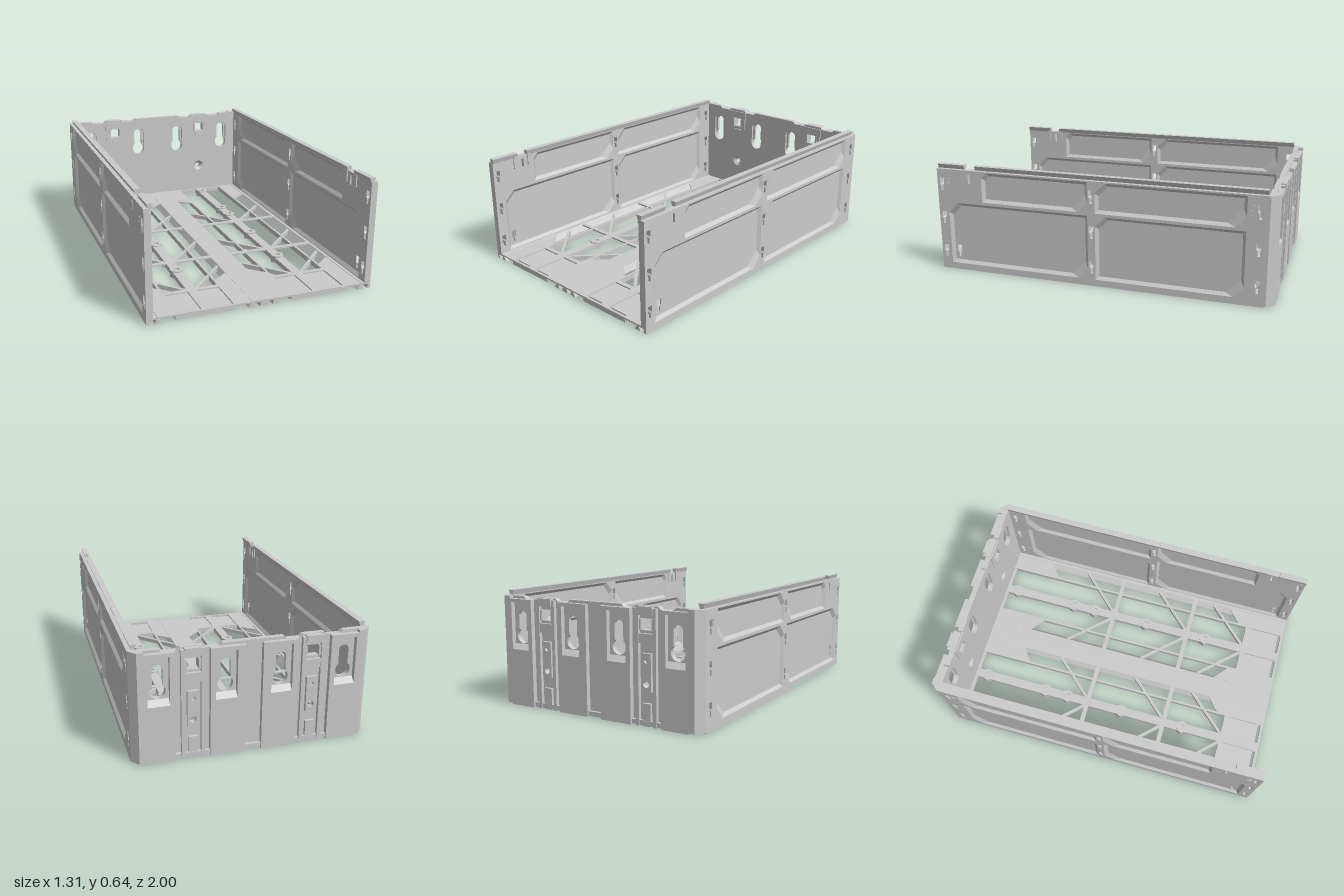
import * as THREE from 'three';

const material = new THREE.MeshStandardMaterial({ color: 0xcccccc, flatShading: true, side: THREE.DoubleSide });

const shapeOf = (pts, holes) => {
  const s = new THREE.Shape(pts.map(([a, b]) => new THREE.Vector2(a, b)));
  holes.forEach(h => s.holes.push(new THREE.Path(h.map(([a, b]) => new THREE.Vector2(a, b)))));
  return s;
};
const extrude = (pts, holes, depth) =>
  new THREE.ExtrudeGeometry(shapeOf(pts, holes), { depth, bevelEnabled: false });
const rect = (a0, a1, b0, b1) => [[a0, b0], [a1, b0], [a1, b1], [a0, b1]];
const arc = (cx, cy, r, from, to, n = 12) => Array.from({ length: n + 1 }, (_, i) => {
  const t = from + (to - from) * i / n;
  return [cx + r * Math.cos(t), cy + r * Math.sin(t)];
});
const circle = (cx, cy, r, n = 16) => arc(cx, cy, r, 0, Math.PI * 2, n).slice(0, n);

// Extrusions along each axis
const alongX = (pts, holes, x0, x1) => extrude(pts, holes, x1 - x0).rotateY(-Math.PI / 2).translate(x1, 0, 0); // (z, y)
const alongY = (pts, holes, y0, y1) => extrude(pts, holes, y1 - y0).rotateX(Math.PI / 2).translate(0, y1, 0); // (x, z)
const alongZ = (pts, holes, z0, z1) => extrude(pts, holes, z1 - z0).translate(0, 0, z0); // (x, y)
const box = (x0, x1, y0, y1, z0, z1) =>
  new THREE.BoxGeometry(x1 - x0, y1 - y0, z1 - z0).translate((x0 + x1) / 2, (y0 + y1) / 2, (z0 + z1) / 2);

// Mirror in x, restoring the winding
function mirrored(geo) {
  const g = geo.index ? geo.toNonIndexed() : geo.clone();
  g.scale(-1, 1, 1);
  const p = g.attributes.position, a = new THREE.Vector3(), c = new THREE.Vector3();
  for (let i = 0; i < p.count; i += 3) {
    a.fromBufferAttribute(p, i);
    c.fromBufferAttribute(p, i + 2);
    p.setXYZ(i, c.x, c.y, c.z);
    p.setXYZ(i + 2, a.x, a.y, a.z);
  }
  g.computeVertexNormals();
  return g;
}

// Sloped band between two (z, y) loops at different x
function bevelBand(loopA, xa, loopB, xb) {
  const v = [], n = loopA.length;
  for (let i = 0; i < n; i++) {
    const j = (i + 1) % n;
    const A = [xa, loopA[i][1], loopA[i][0]], B = [xa, loopA[j][1], loopA[j][0]];
    const C = [xb, loopB[j][1], loopB[j][0]], D = [xb, loopB[i][1], loopB[i][0]];
    if (xa < xb) v.push(...A, ...B, ...C, ...A, ...C, ...D);
    else v.push(...A, ...C, ...B, ...A, ...D, ...C);
  }
  const g = new THREE.BufferGeometry();
  g.setAttribute('position', new THREE.Float32BufferAttribute(v, 3));
  g.computeVertexNormals();
  return g;
}

export function createModel() {
  const model = new THREE.Group();
  model.name = 'openTray';
  const group = name => {
    const g = new THREE.Group();
    g.name = name;
    model.add(g);
    return g;
  };
  const add = (parent, name, geo) => {
    const m = new THREE.Mesh(geo, material);
    m.name = name;
    parent.add(m);
  };
  const pair = (parent, name, geo) => {
    add(parent, name + 'Left', geo);
    add(parent, name + 'Right', mirrored(geo));
  };

  // Side walls: frame with four bevelled recessed panels and key slots
  const walls = group('sideWalls');
  const panelLoop = ([z0, z1, y0, y1, cTop, cLow], d = 0) => {
    const a = z0 + d, b = z1 - d, c = y0 + d, e = y1 - d, k = cLow + d * 1.2;
    return [[a + k, c], [b, c], [b, e - cTop], [b - cTop, e], [a, e], [a, c + k]];
  };
  const keySlot = (z, y) => [[z - 0.007, y - 0.04], [z + 0.007, y - 0.04], [z + 0.007, y - 0.01], [z + 0.014, y],
    [z + 0.014, y + 0.035], [z - 0.014, y + 0.035], [z - 0.014, y], [z - 0.007, y - 0.01]];
  const panels = [
    [0.055, 0.71, 0.435, 0.612, 0.03, 0.06],
    [-0.835, 0.01, 0.435, 0.612, 0.06, 0.06],
    [0.055, 0.935, 0.04, 0.418, 0.06, 0.06],
    [-0.835, 0.01, 0.04, 0.418, 0.06, 0.06],
  ];
  const slots = [rect(0.783, 0.797, 0.545, 0.6)];
  for (const z of [0.97, 0.033, -0.905]) for (const y of [0.53, 0.325, 0.115]) slots.push(keySlot(z, y));
  pair(walls, 'wallFrame',
    alongX(rect(-0.945, 1, 0.03, 0.62), [...panels.map(p => panelLoop(p)), ...slots], 0.612, 0.65));
  panels.forEach((p, i) => {
    const outer = panelLoop(p), inner = panelLoop(p, 0.018);
    pair(walls, 'wallPanel', alongX(outer, i === 2 ? [keySlot(0.89, 0.115)] : [], 0.627, 0.634));
    pair(walls, 'panelBevelOuter', bevelBand(outer, 0.65, inner, 0.634));
    pair(walls, 'panelBevelInner', bevelBand(outer, 0.612, inner, 0.627));
  });
  for (const z of [0.93, -0.87]) for (const y of [0.535, 0.56])
    pair(walls, 'wallTick', box(0.645, 0.653, y - 0.003, y + 0.003, z - 0.012, z + 0.012));

  // Dovetail rails on the wall tops, with a clip in the gap
  const rail = [[0.608, 0.618], [0.626, 0.618], [0.635, 0.645], [0.599, 0.645]];
  for (const [a, b] of [[-0.94, 0.76], [0.83, 1]]) pair(walls, 'topRail', alongZ(rail, [], a, b));
  for (const z of [0.735, 0.835]) pair(walls, 'railClip', box(0.605, 0.62, 0.55, 0.626, z, z + 0.02));

  // Floor: grooved strips
  const floor = group('floor');
  const notch = x => [[x - 0.013, 0], [x - 0.02, 0.024], [x + 0.02, 0.024], [x + 0.013, 0]];
  add(floor, 'centreStrip', alongZ(
    [[-0.09, 0], ...notch(-0.037), ...notch(0.037), [0.09, 0], [0.068, 0.035], [-0.068, 0.035]], [], -0.97, 1));
  pair(floor, 'edgeStrip', alongZ(
    [[0.565, 0], ...notch(0.617), [0.65, 0], [0.65, 0.035], [0.594, 0.035]], [], -0.945, 1));

  // Solid corners of the floor, with slanted ends
  const cornerPlates = [
    [[0.06, -0.97], [0.165, -0.97], [0.165, -0.61], [0.06, -0.69]],
    [[0.49, -0.97], [0.59, -0.97], [0.59, -0.69], [0.49, -0.61]],
    [[0.06, 0.6], [0.165, 0.69], [0.165, 1], [0.06, 1]],
    [[0.49, 0.69], [0.59, 0.6], [0.59, 1], [0.49, 1]],
  ];
  cornerPlates.forEach(p => pair(floor, 'floorCorner', alongY(p, [], 0.025, 0.034)));
  pair(floor, 'frontPlate', alongY(rect(0.16, 0.495, 0.75, 0.99),
    [rect(0.175, 0.29, 0.968, 0.984), rect(0.355, 0.48, 0.968, 0.984)], 0.004, 0.026));
  pair(floor, 'frontEdge', box(0.16, 0.495, 0.004, 0.034, 0.985, 1));

  // Lengthwise and cross ribs
  for (const [a, b] of [[0.156, 0.17], [0.295, 0.35], [0.484, 0.498]])
    pair(floor, 'longRib', box(a, b, 0.004, 0.034, -0.96, 0.99));
  for (const z of [-0.16, 0.36]) pair(floor, 'crossRib', box(0.06, 0.595, 0.025, 0.035, z - 0.014, z + 0.014));
  pair(floor, 'frontCrossRib', box(0.16, 0.495, 0.004, 0.034, 0.74, 0.768));

  // Diagonal braces forming a V in each bay
  const brace = (x0, z0, x1, z1) => new THREE.BoxGeometry(Math.hypot(x1 - x0, z1 - z0), 0.026, 0.018)
    .rotateY(-Math.atan2(z1 - z0, x1 - x0)).translate((x0 + x1) / 2, 0.018, (z0 + z1) / 2);
  for (const z of [-0.42, 0.1, 0.495]) {
    pair(floor, 'brace', brace(0.585, z, 0.345, z + 0.25));
    pair(floor, 'brace', brace(0.07, z, 0.3, z + 0.25));
  }

  // Drilled screw bosses
  for (const z of [-0.86, -0.45, -0.3, 0.07, 0.485])
    pair(floor, 'screwBoss', alongY(circle(0.322, z, 0.04, 8), [circle(0.322, z, 0.018, 6)], 0, 0.042));

  // Back wall: stepped plates with keyholes, clip windows and screw holes
  const back = group('backWall');
  const PI = Math.PI;
  const top = [[0.615, 0.62], [0.495, 0.62], [0.48, 0.605], [0.405, 0.605], [0.388, 0.62], [0.268, 0.62],
    [0.252, 0.605], [0.182, 0.605], [0.165, 0.62]];
  const outline = [[-0.615, 0], [0.615, 0], ...top, ...top.map(([x, y]) => [-x, y]).reverse()];
  const wide = x => [...arc(x, 0.51, 0.042, 0, PI), ...arc(x, 0.395, 0.042, PI, 2 * PI)];
  const keyhole = x => [...arc(x, 0.51, 0.027, 0, PI), ...arc(x, 0.395, 0.042, PI * 0.72, PI * 2.28, 16)];
  const keyX = [-0.505, -0.15, 0.15, 0.505], clipX = [-0.325, 0.325];
  const windowHole = x => rect(x - 0.036, x + 0.036, 0.495, 0.556);
  add(back, 'innerPlate', alongZ(outline,
    [...keyX.map(wide), ...clipX.map(windowHole), ...clipX.map(x => circle(x, 0.22, 0.037))], -0.957, -0.942));
  add(back, 'outerPlate', alongZ(outline,
    [...keyX.map(keyhole), ...clipX.map(windowHole), ...clipX.map(x => circle(x, 0.22, 0.018))], -0.973, -0.957));
  pair(back, 'countersink', new THREE.CylinderGeometry(0.037, 0.018, 0.015, 16, 1, true)
    .rotateX(PI / 2).translate(0.325, 0.22, -0.9495));
  pair(back, 'cornerPost', alongY([[0.575, -0.943], [0.65, -0.943], [0.65, -0.955], [0.612, -1], [0.575, -1]], [], 0.006, 0.62));

  // Clip frames on the inside
  pair(back, 'clipFrame', alongZ(rect(0.257, 0.393, 0.477, 0.605), [windowHole(0.325)], -0.943, -0.935));
  for (const x of [0.287, 0.363]) pair(back, 'clipJaw', box(x - 0.006, x + 0.006, 0.498, 0.553, -0.985, -0.932));
  pair(back, 'clipTab', box(0.302, 0.348, 0.464, 0.473, -0.943, -0.934));

  // Raised pads outside, pocketed around the keyholes
  pair(back, 'outerPad', alongZ(rect(0.42, 0.58, 0, 0.605), [rect(0.447, 0.563, 0.32, 0.585)], -1, -0.97));
  pair(back, 'innerPad', alongZ(rect(0.045, 0.235, 0, 0.605), [rect(0.092, 0.208, 0.32, 0.585)], -1, -0.97));
  for (const x of [0.505, 0.15]) // sloped sill under each keyhole
    pair(back, 'pocketSill', alongX([[-0.972, 0.32], [-1, 0.32], [-0.972, 0.352]], [], x - 0.058, x + 0.058));
  for (const x of [0.272, 0.378]) pair(back, 'columnRib', box(x - 0.01, x + 0.01, 0, 0.61, -0.993, -0.97));
  pair(back, 'clipTop', box(0.28, 0.37, 0.575, 0.618, -1, -0.965));
  pair(back, 'columnBridge', box(0.28, 0.37, 0.43, 0.48, -0.99, -0.97));
  pair(back, 'columnBoss', alongZ(rect(0.295, 0.355, 0.18, 0.38), [circle(0.325, 0.22, 0.018), circle(0.325, 0.34, 0.012)], -0.99, -0.97));
  pair(back, 'columnFoot', box(0.3, 0.35, 0, 0.12, -0.988, -0.97));
  add(back, 'backSill', box(-0.6, 0.6, 0.004, 0.03, -0.99, -0.925));

  return model;
}
